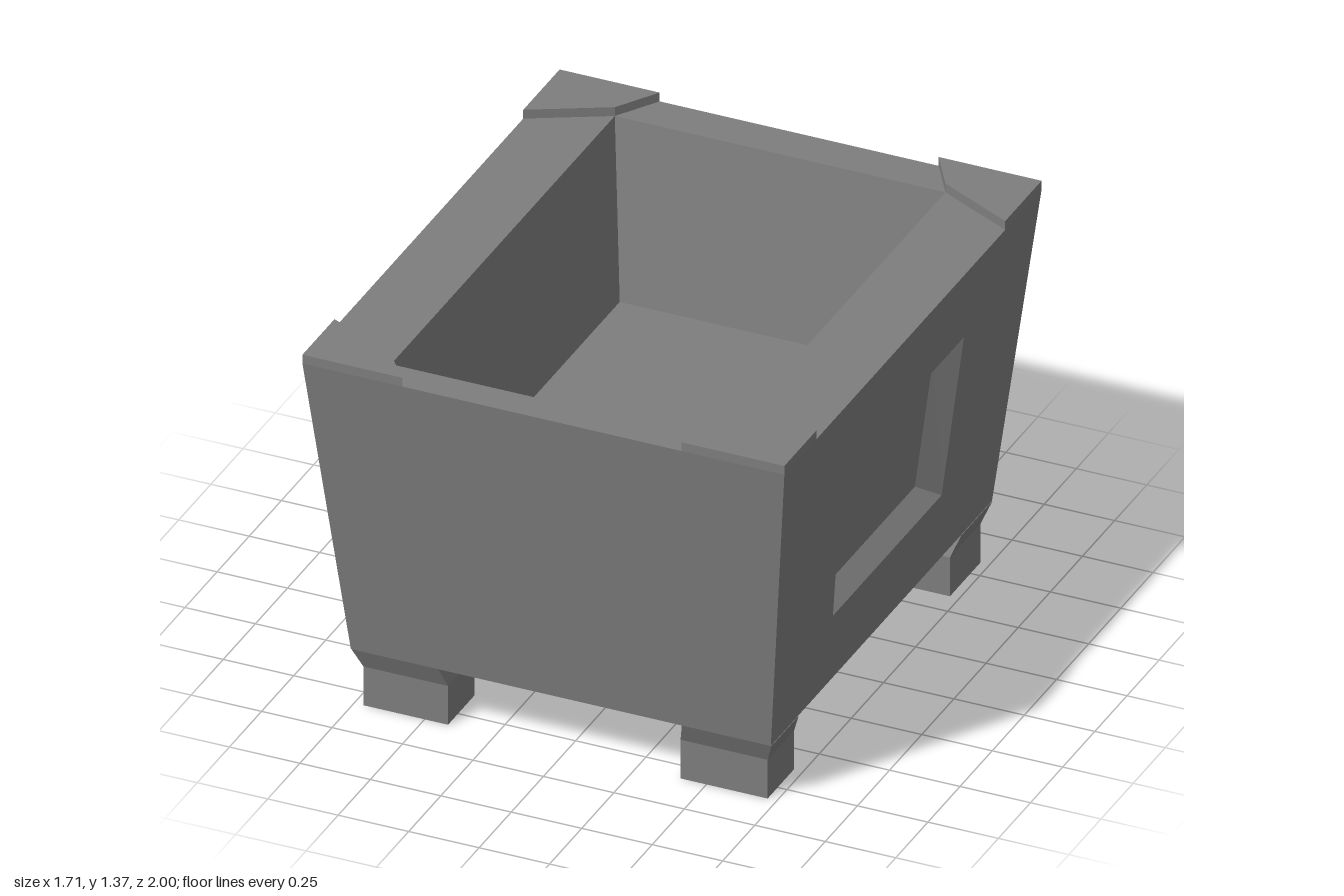
import * as THREE from 'three';

const material = new THREE.MeshStandardMaterial({ color: 0x7d7d7d, flatShading: true });

// Flat-shaded mesh from counter-clockwise quads
function quadMesh(name, quads) {
  const positions = quads.flatMap(([a, b, c, d]) => [a, b, c, a, c, d].flat());
  const geometry = new THREE.BufferGeometry();
  geometry.setAttribute('position', new THREE.Float32BufferAttribute(positions, 3));
  geometry.computeVertexNormals();
  const mesh = new THREE.Mesh(geometry, material);
  mesh.name = name;
  return mesh;
}

// Strip of four quads between two four-cornered rings
const band = (a, b) => a.map((p, i) => [p, a[(i + 1) % 4], b[(i + 1) % 4], b[i]]);

// Chain of rings, closed at both ends
function loft(rings) {
  const quads = rings.slice(1).flatMap((ring, i) => band(rings[i], ring));
  return [[...rings[0]].reverse(), ...quads, rings[rings.length - 1]];
}

// Horizontal rectangle, counter-clockwise seen from above
const rect = (x0, x1, y, z0, z1) => [[x1, y, z1], [x1, y, z0], [x0, y, z0], [x0, y, z1]];

const BASE = 0.22, RIM = 1.337, TOP = 1.37, FLOOR = 0.71;
const wallX = y => 0.745 + 0.11 * (y - BASE) / (RIM - BASE);

export function createModel() {
  const group = new THREE.Group();

  // Tapered tub with a hollow inside; the +x and -x walls are made separately
  const bottom = rect(-0.747, 0.743, BASE, -0.86, 0.86);
  const rim = rect(-0.855, 0.855, RIM, -1, 1);
  const opening = rect(-0.593, 0.58, RIM, -0.855, 0.885);
  const floor = rect(-0.53, 0.52, FLOOR, -0.755, 0.785);
  const walls = band(bottom, rim);
  group.add(quadMesh('tub', [
    [...bottom].reverse(), walls[1], walls[3],
    ...band(rim, opening), ...band(opening, floor), floor,
  ]));

  // Side walls with a recessed panel
  const onWall = (y, z, depth) => [wallX(y) - depth, y, z];
  const frame = [
    onWall(0.49, 0.44, 0), onWall(0.49, -0.405, 0), onWall(1.07, -0.455, 0), onWall(1.07, 0.492, 0),
  ];
  const recess = [
    onWall(0.545, 0.37, 0.068), onWall(0.545, -0.335, 0.068),
    onWall(1.03, -0.377, 0.068), onWall(1.03, 0.413, 0.068),
  ];
  const sideQuads = [...band(walls[0], frame), ...band(frame, recess), recess];
  const mirrored = sideQuads.map(q => q.map(([x, y, z]) => [-x, y, z]).reverse());
  group.add(quadMesh('leftPanelWall', sideQuads), quadMesh('rightPanelWall', mirrored));

  for (const sx of [1, -1]) for (const sz of [1, -1]) {
    const corner = (sz > 0 ? 'front' : 'back') + (sx > 0 ? 'Left' : 'Right');
    const span = (a, b) => [Math.min(a, b), Math.max(a, b)];

    // Raised kite-shaped plate on each rim corner
    const kite = y => {
      const ring = [
        [sx * 0.855, y, sz], [sx > 0 ? 0.49 : -0.5, y, sz],
        [sx > 0 ? 0.58 : -0.593, y, sz > 0 ? 0.885 : -0.855], [sx * 0.855, y, sz > 0 ? 0.75 : -0.717],
      ];
      return sx * sz > 0 ? ring.reverse() : ring;
    };
    group.add(quadMesh(corner + 'CornerPlate', loft([kite(RIM), kite(TOP)])));

    // Square foot whose upper part leans out to meet the tub
    const footX = span(sx * 0.717, sx > 0 ? 0.408 : -0.417);
    const footZ = span(sz * 0.828, sz > 0 ? 0.622 : -0.59);
    const neckX = span(sx * 0.745, sx > 0 ? 0.427 : -0.437);
    const neckZ = span(sz * 0.86, sz > 0 ? 0.648 : -0.615);
    group.add(quadMesh(corner + 'Foot', loft([
      rect(...footX, 0, ...footZ), rect(...footX, 0.145, ...footZ), rect(...neckX, BASE, ...neckZ),
    ])));
  }
  return group;
}
